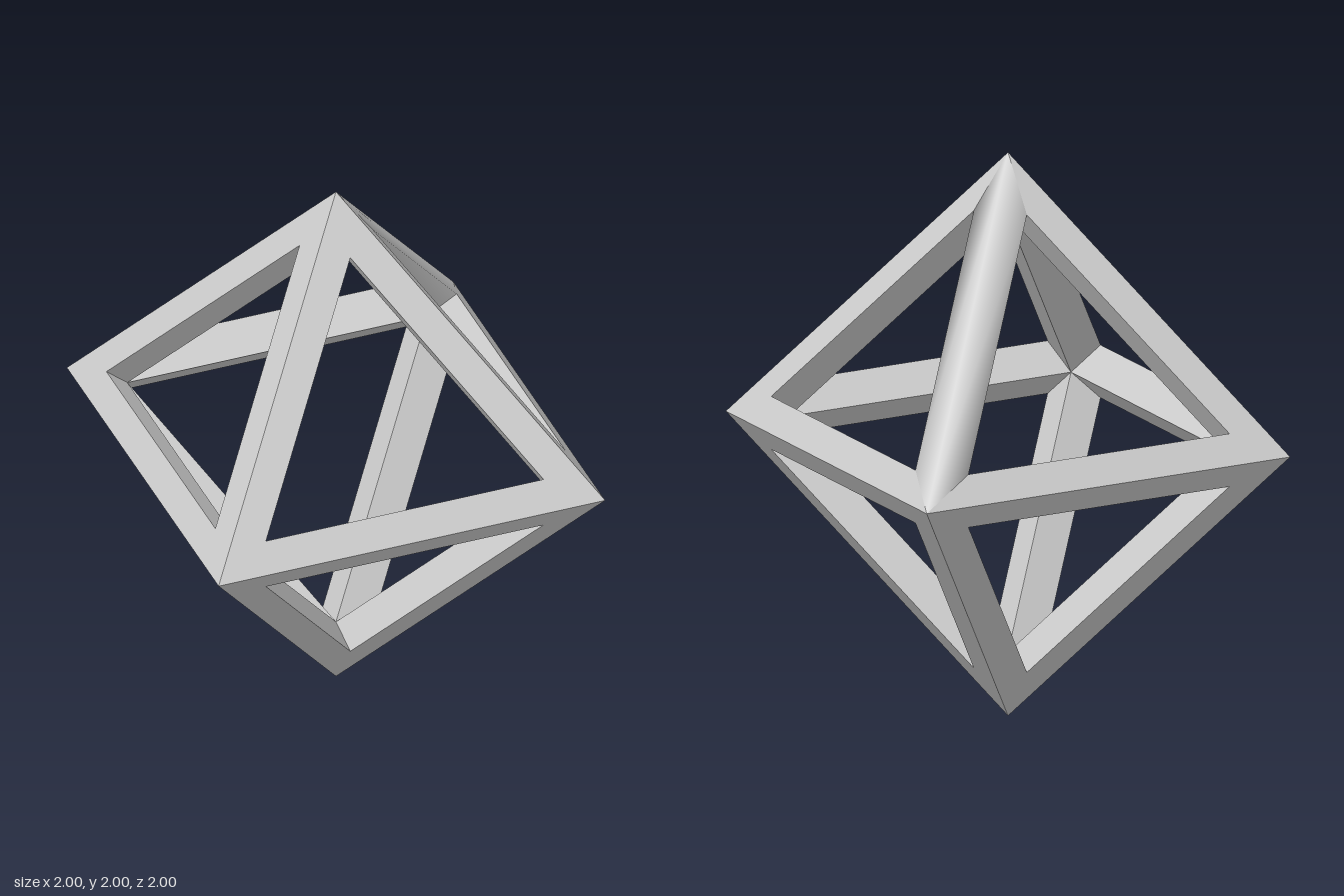
import * as THREE from 'three';

const INSET = 0.094; // distance of the face openings from the corner planes
const INNER = 0.775; // radius of the inner ridges

// One kite-section bar, mitred at both ends, between unit corners u and v.
function barGeometry(u, v, smooth) {
  const n = new THREE.Vector3().crossVectors(u, v);
  const positions = [];
  const section = (a, b) => {
    const opening = (side) => a.clone().multiplyScalar(1 - 2 * INSET)
      .addScaledVector(b, INSET).addScaledVector(n, side * INSET);
    // outer ridge, opening edge, inner ridge, opening edge
    for (const p of [a, opening(1), a.clone().multiplyScalar(INNER), opening(-1)]) {
      positions.push(p.x, p.y, p.z);
    }
  };
  section(u, v);
  section(v, u);

  const index = [];
  for (let k = 0; k < 4; k++) {
    const next = (k + 1) % 4;
    index.push(k, k + 4, next, k + 4, next + 4, next);
  }
  let geometry = new THREE.BufferGeometry();
  geometry.setAttribute('position', new THREE.Float32BufferAttribute(positions, 3));
  geometry.setIndex(index);
  if (!smooth) geometry = geometry.toNonIndexed();
  geometry.computeVertexNormals();
  return geometry;
}

export function createModel() {
  const group = new THREE.Group();
  group.name = 'octahedronFrame';
  const material = new THREE.MeshStandardMaterial({ color: 0xcccccc });

  const top = new THREE.Vector3(0, 1, 0);
  const bottom = new THREE.Vector3(0, -1, 0);
  const ring = [[1, 0], [0, 1], [-1, 0], [0, -1]].map(([x, z]) => new THREE.Vector3(x, 0, z));

  const addBar = (name, u, v, smooth = false) => {
    const bar = new THREE.Mesh(barGeometry(u, v, smooth), material);
    bar.name = name;
    bar.position.y = 1;
    group.add(bar);
  };

  // Four upper, four middle and four lower bars; the upper back bar is smooth-shaded
  ring.forEach((corner, i) => {
    addBar('upperBar', top, corner, corner.z === -1);
    addBar('middleBar', corner, ring[(i + 1) % 4]);
    addBar('lowerBar', bottom, corner);
  });
  return group;
}
